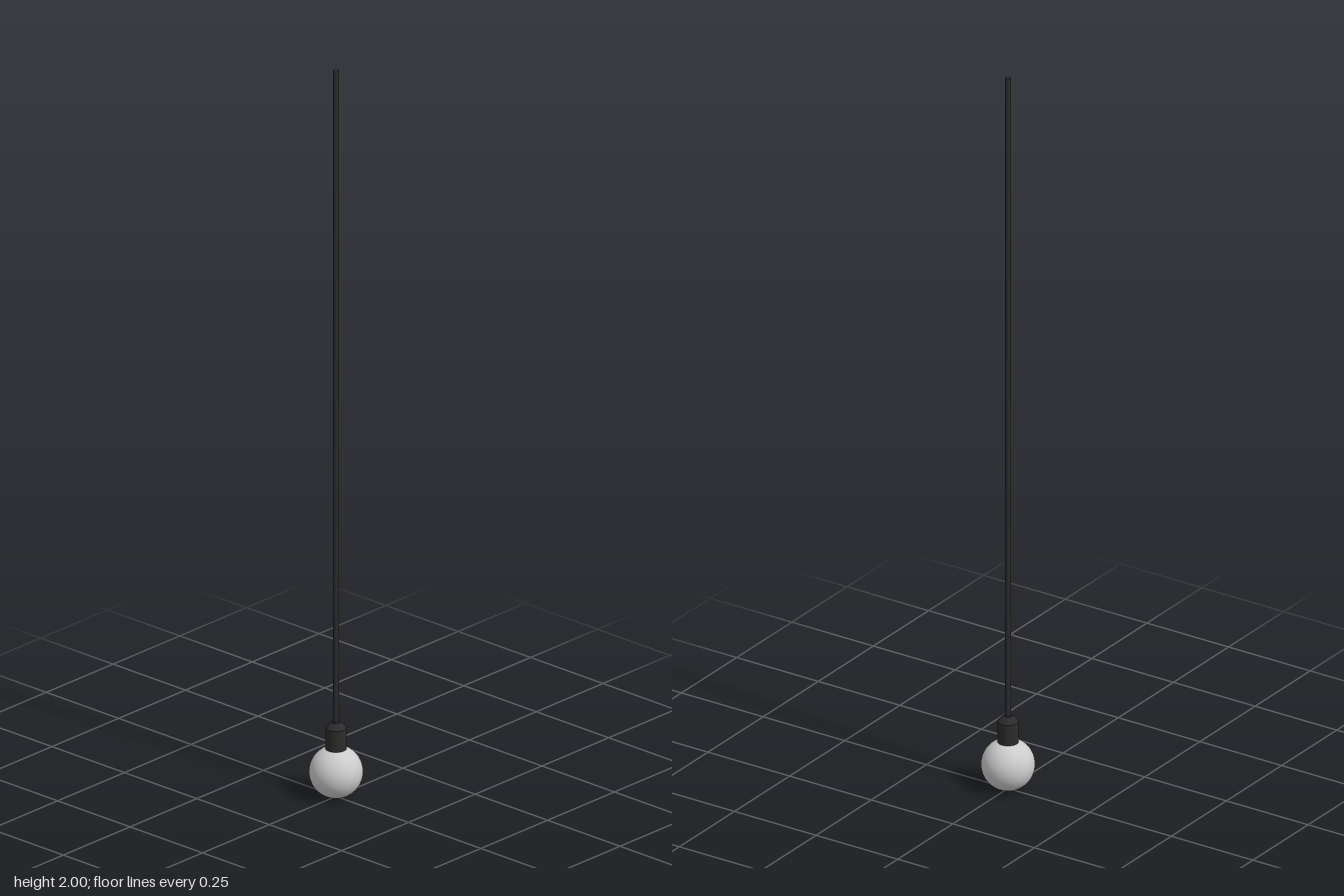
import * as THREE from 'three';
import { toCreasedNormals } from 'three/addons/utils/BufferGeometryUtils.js';

export function createModel() {
  const group = new THREE.Group();
  const dark = new THREE.MeshStandardMaterial({ color: 0x2b2b2b });
  const grey = new THREE.MeshStandardMaterial({ color: 0xcccccc });

  const add = (name, geometry, material, y = 0) => {
    const mesh = new THREE.Mesh(geometry, material);
    mesh.name = name;
    mesh.position.y = y;
    group.add(mesh);
  };

  // Round globe bulb
  const bulbRadius = 0.069;
  add('bulb', new THREE.SphereGeometry(bulbRadius, 48, 32), grey, bulbRadius);

  // Lamp holder: straight sleeve with a tapered shoulder
  const profile = [
    [0, 0.125], [0.027, 0.125], [0.027, 0.19], [0.012, 0.206], [0, 0.206],
  ].map(([r, y]) => new THREE.Vector2(r, y));
  add('socket', toCreasedNormals(new THREE.LatheGeometry(profile, 32), 0.5), dark);

  // Hanging cord, up to the ceiling end
  const cordBottom = 0.2, cordTop = 2;
  add('cord', new THREE.CylinderGeometry(0.008, 0.008, cordTop - cordBottom, 16),
    dark, (cordTop + cordBottom) / 2);

  return group;
}
